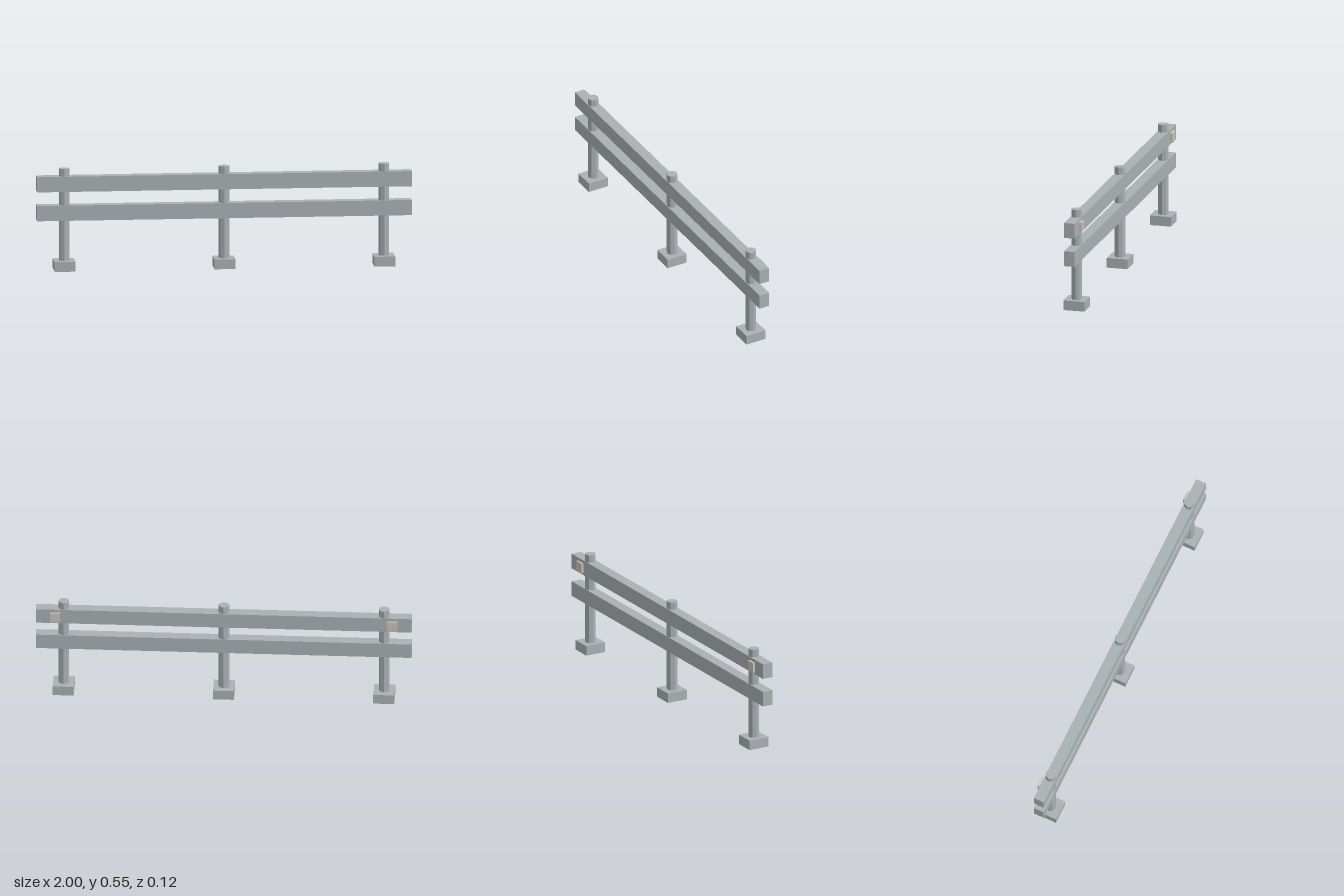
import * as THREE from 'three';

export function createModel() {
  const steel = new THREE.MeshStandardMaterial({ name: 'galvanised steel', color: 0xaab1b3, flatShading: true });
  const reflectorMat = new THREE.MeshStandardMaterial({ name: 'pale reflector', color: 0xcbc4b9, flatShading: true });
  const model = new THREE.Group();
  model.name = 'guardRail';

  const add = (name, geometry, material, x, y, z) => {
    const mesh = new THREE.Mesh(geometry, material);
    mesh.name = name;
    mesh.position.set(x, y, z);
    model.add(mesh);
  };

  // Octagonal posts on square footings
  const footing = new THREE.BoxGeometry(0.112, 0.053, 0.116);
  const post = new THREE.CylinderGeometry(0.029, 0.029, 0.497, 8);
  for (const [side, x] of [['right', -0.853], ['middle', 0], ['left', 0.853]]) {
    add(side + 'Footing', footing, steel, x, 0.0265, 0);
    add(side + 'Post', post, steel, x, 0.3005, 0);
  }

  // Two long horizontal beams
  const beam = new THREE.BoxGeometry(2, 0.082, 0.058);
  add('lowerBeam', beam, steel, 0, 0.311, 0);
  add('upperBeam', beam, steel, 0, 0.467, 0);

  // Reflectors just behind the upper beam, near its ends
  const reflector = new THREE.BoxGeometry(0.054, 0.054, 0.012);
  for (const s of [-1, 1]) {
    add(s < 0 ? 'rightReflector' : 'leftReflector', reflector, reflectorMat, s * 0.898, 0.467, -0.039);
  }
  return model;
}
